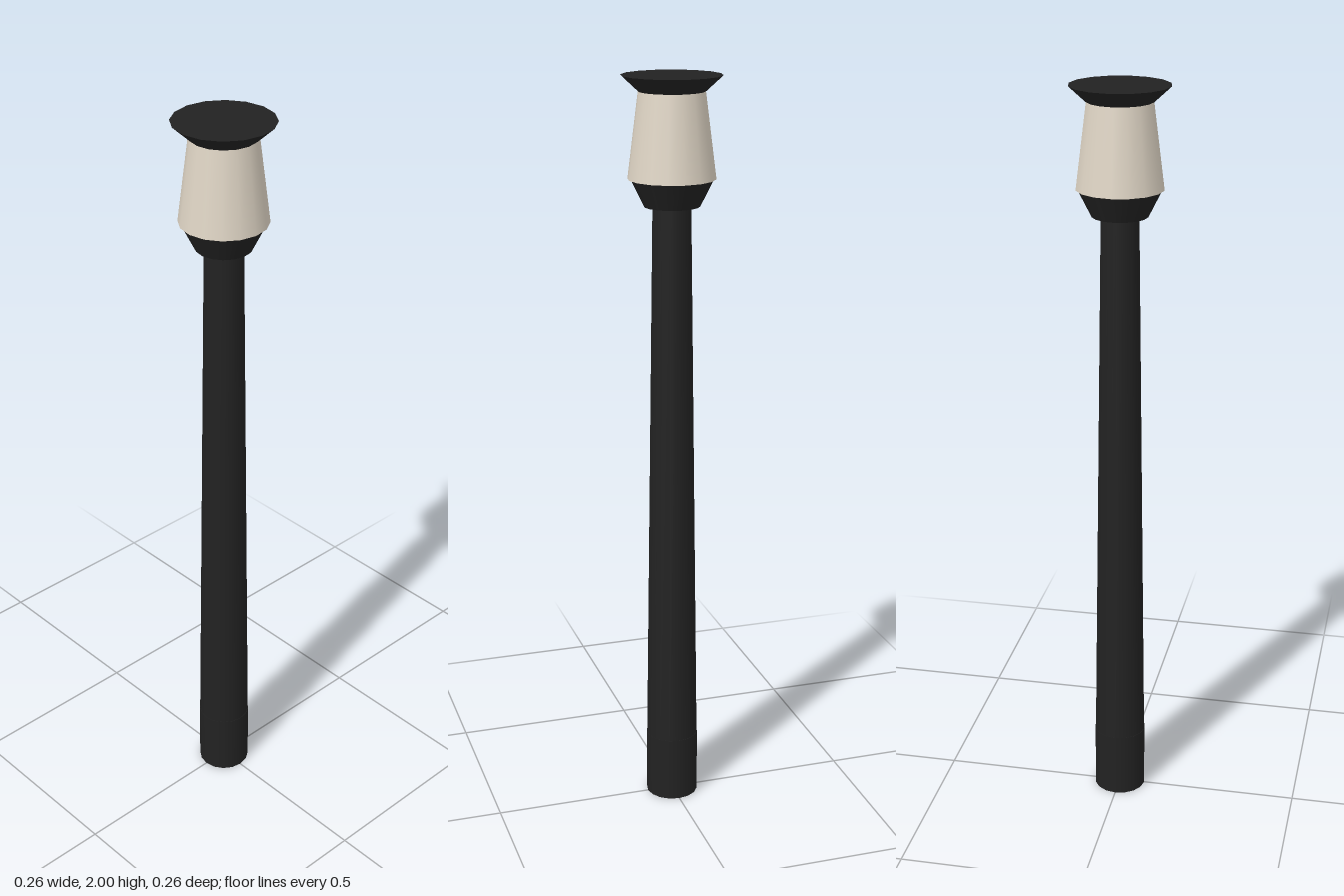
import * as THREE from 'three';

const SIDES = 16;

export function createModel() {
  const model = new THREE.Group();
  model.name = 'lampPost';

  const blackMetal = new THREE.MeshStandardMaterial({ color: 0x222222 });
  blackMetal.name = 'black metal';
  const creamGlass = new THREE.MeshStandardMaterial({ color: 0xded4c4 });
  creamGlass.name = 'cream glass';

  // Round tapered section standing between two heights
  function section(name, bottomY, topY, bottomR, topR, material) {
    const height = topY - bottomY;
    const mesh = new THREE.Mesh(
      new THREE.CylinderGeometry(topR, bottomR, height, SIDES), material);
    mesh.name = name;
    mesh.position.y = bottomY + height / 2;
    model.add(mesh);
  }

  // Post: straight foot, then a long slender taper
  section('foot', 0, 0.18, 0.071, 0.071, blackMetal);
  section('pole', 0.18, 1.675, 0.07, 0.05, blackMetal);

  // Lantern: flared holder, glass shade and flat flared cap
  section('lanternHolder', 1.67, 1.74, 0.073, 0.108, blackMetal);
  section('glassShade', 1.74, 1.96, 0.114, 0.086, creamGlass);
  section('cap', 1.957, 2, 0.083, 0.13, blackMetal);

  return model;
}
